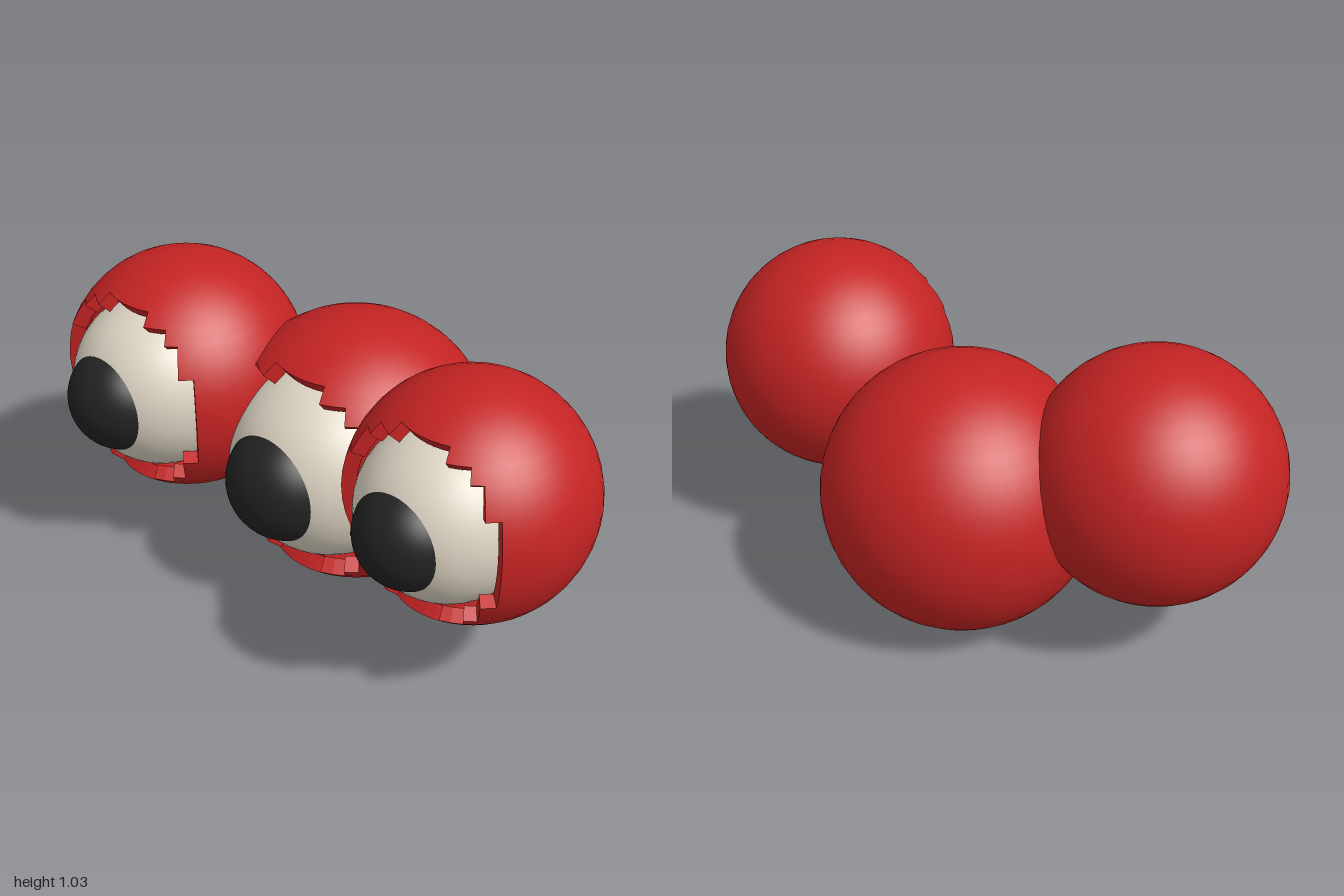
import * as THREE from 'three';

const red = new THREE.MeshStandardMaterial({ color: 0xc42323 });
red.name = 'red';
const cream = new THREE.MeshStandardMaterial({ color: 0xdcd3c2 });
cream.name = 'cream';
const black = new THREE.MeshStandardMaterial({ color: 0x222222 });
black.name = 'black';

const STEP = THREE.MathUtils.degToRad(7.5); // size of one shell cell
const OPENING = Math.cos(THREE.MathUtils.degToRad(52.5));
const INNER = 0.88; // inner shell radius

// Point on the unit sphere from grid indices, with the poles on y and the front at +z
function point(i, j) {
  const lon = i * STEP, lat = j * STEP;
  return new THREE.Vector3(Math.cos(lat) * Math.sin(lon), Math.sin(lat), Math.cos(lat) * Math.cos(lon));
}

// A cell is left out when its middle lies inside the round front opening
const isOpen = (i, j) => point(i + 0.5, j + 0.5).z > OPENING;

// Thick unit shell whose opening follows the cell grid in steps
function shellGeometry() {
  const pos = [], nor = [];
  const triangle = (points, normals) => points.forEach((p, k) => {
    pos.push(p.x, p.y, p.z);
    nor.push(normals[k].x, normals[k].y, normals[k].z);
  });
  const quad = (p, n) => {
    triangle([p[0], p[1], p[2]], [n[0], n[1], n[2]]);
    triangle([p[0], p[2], p[3]], [n[0], n[2], n[3]]);
  };
  for (let j = -12; j < 12; j++) {
    for (let i = -24; i < 24; i++) {
      if (isOpen(i, j)) continue;
      const c = [point(i, j), point(i + 1, j), point(i + 1, j + 1), point(i, j + 1)];
      quad(c, c); // outer skin
      const inside = [...c].reverse();
      quad(inside.map(p => p.clone().multiplyScalar(INNER)), inside.map(p => p.clone().negate()));
      // walls along the edge of the opening
      [[0, -1], [1, 0], [0, 1], [-1, 0]].forEach(([di, dj], k) => {
        if (!isOpen(i + di, j + dj)) return;
        const a = c[k], b = c[(k + 1) % 4];
        const n = b.clone().sub(a).cross(a).normalize();
        quad([a.clone().multiplyScalar(INNER), b.clone().multiplyScalar(INNER), b, a], [n, n, n, n]);
      });
    }
  }
  const g = new THREE.BufferGeometry();
  g.setAttribute('position', new THREE.Float32BufferAttribute(pos, 3));
  g.setAttribute('normal', new THREE.Float32BufferAttribute(nor, 3));
  return g;
}

// Sphere on the viewing axis, with its pole facing forward
function ball(name, radius, z, material) {
  const g = new THREE.SphereGeometry(radius, 48, 32).rotateX(Math.PI / 2);
  const mesh = new THREE.Mesh(g, material);
  mesh.name = name;
  mesh.position.z = z;
  return mesh;
}

export function createModel() {
  const model = new THREE.Group();
  model.name = 'threeEyes';
  const shell = shellGeometry();
  const eyes = [
    ['rightEye', -0.597, 0.607, 0.105, 0.404],
    ['middleEye', -0.03, 0.453, -0.12, 0.451],
    ['leftEye', 0.614, 0.645, 0.07, 0.384],
  ];
  for (const [name, x, y, z, radius] of eyes) {
    const eye = new THREE.Group();
    eye.name = name;
    const lid = new THREE.Mesh(shell, red);
    lid.name = 'eyelidShell';
    eye.add(lid, ball('eyeball', 0.72, 0.277, cream), ball('pupil', 0.441, 0.695, black));
    eye.position.set(x, y, z);
    eye.scale.setScalar(radius);
    model.add(eye);
  }
  return model;
}
